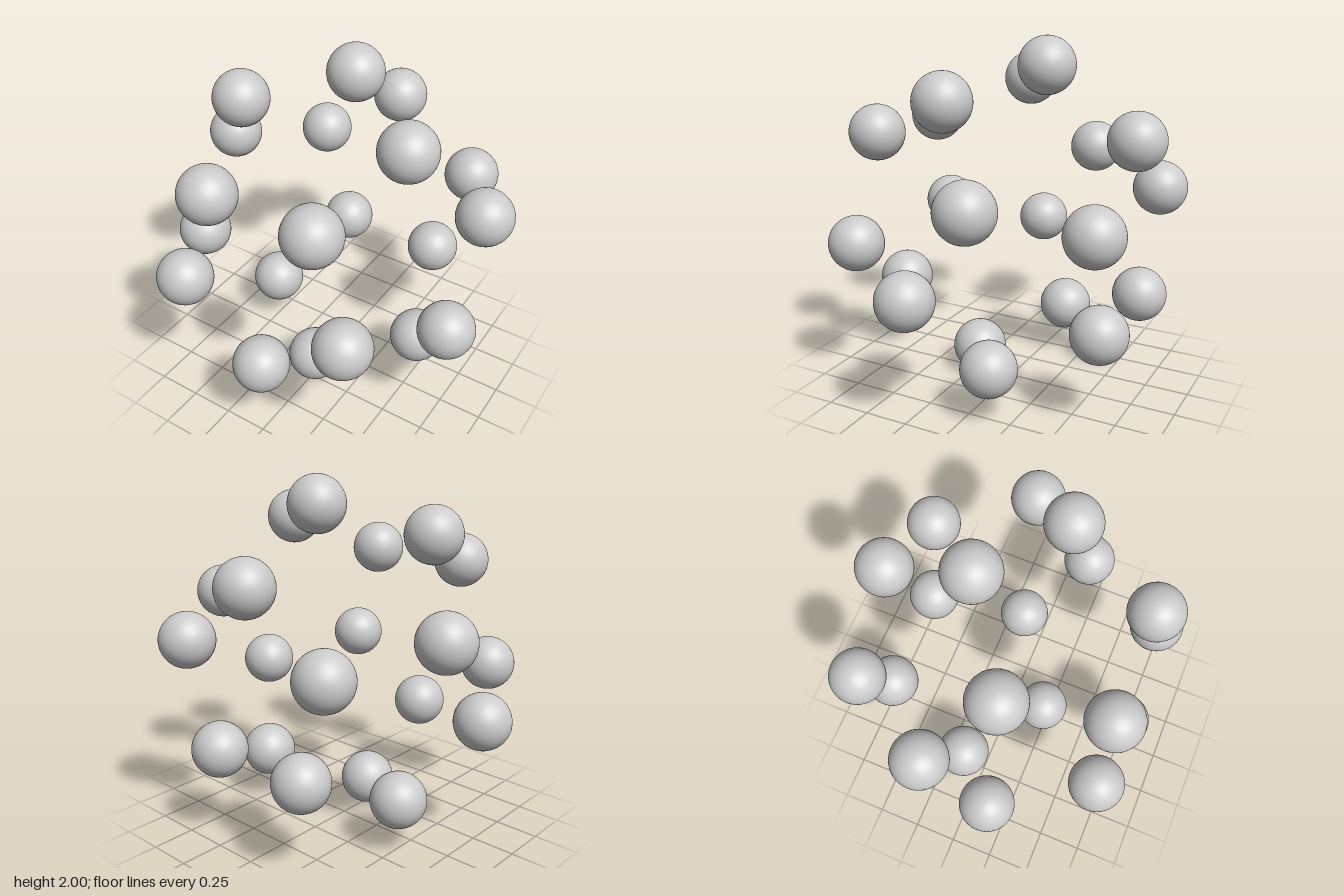
import * as THREE from 'three';

const PHI = (1 + Math.sqrt(5)) / 2;
const UNIT = 0.503;         // half edge of the cube inscribed in the dodecahedron
const BALL_RADIUS = 0.155;
const TILT = THREE.MathUtils.degToRad(55.1);

// The 20 corners of a regular dodecahedron
function dodecahedronCorners() {
  const corners = [];
  for (const s of [-1, 1]) {
    for (const t of [-1, 1]) {
      for (const u of [-1, 1]) corners.push([s, t, u]);
      const a = s / PHI, b = t * PHI;
      corners.push([0, a, b], [a, b, 0], [b, 0, a]);
    }
  }
  return corners;
}

export function createModel() {
  const model = new THREE.Group();
  model.name = 'dodecahedronOfBalls';

  const material = new THREE.MeshStandardMaterial({ color: 0xcccccc });
  const ballGeometry = new THREE.SphereGeometry(BALL_RADIUS, 48, 32);

  // Cluster of balls, tilted about x and raised to stand on the floor
  const cluster = new THREE.Group();
  cluster.name = 'ballCluster';
  cluster.rotation.x = TILT;
  cluster.position.y = 1;
  model.add(cluster);

  // One ball on each corner
  dodecahedronCorners().forEach((corner, i) => {
    const ball = new THREE.Mesh(ballGeometry, material);
    ball.name = `ball${i + 1}`;
    ball.position.fromArray(corner).multiplyScalar(UNIT);
    cluster.add(ball);
  });

  return model;
}
